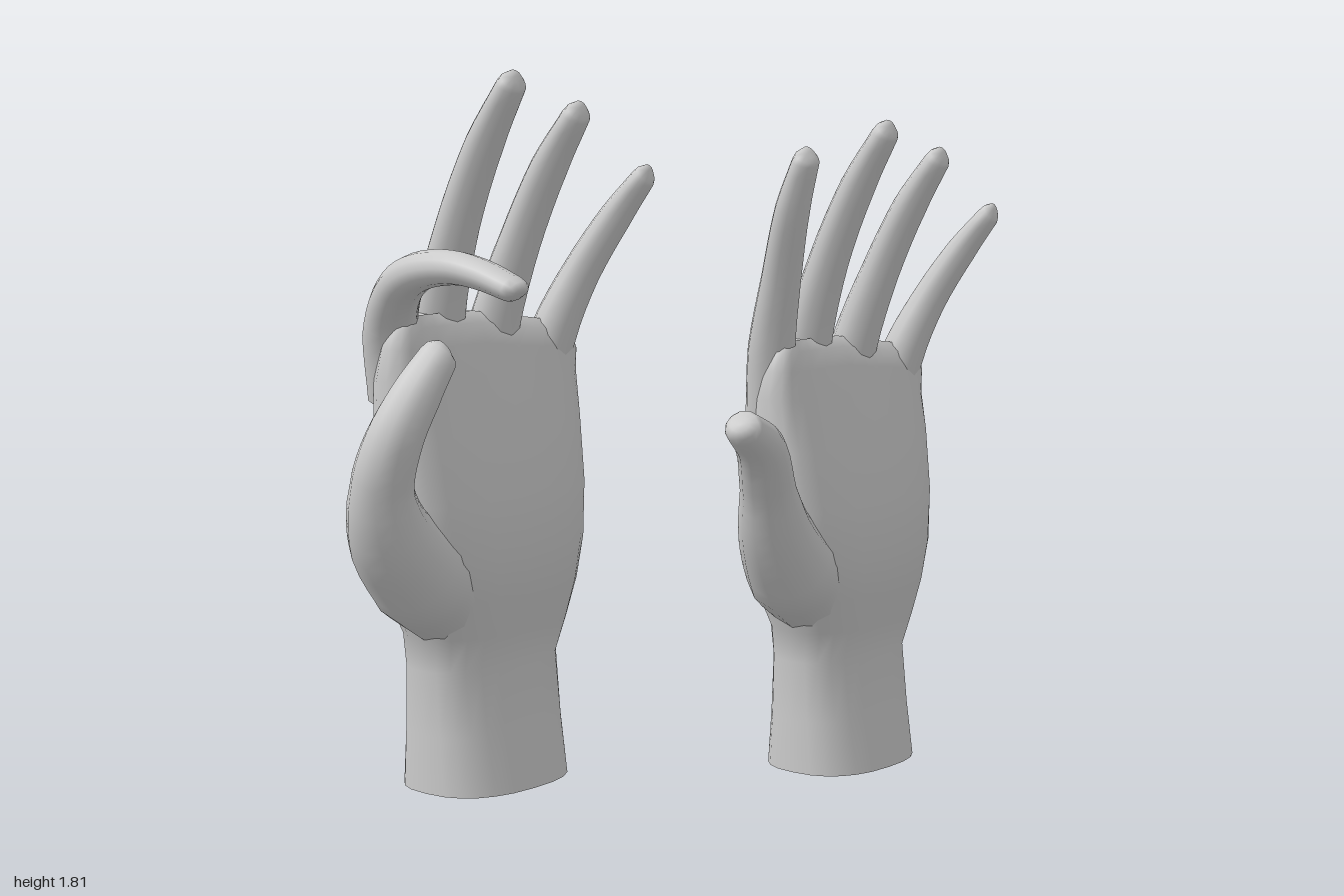
import * as THREE from 'three';

const material = new THREE.MeshStandardMaterial({ color: 0xcccccc });
const V = (x, y, z) => new THREE.Vector3(x, y, z);

// Skin a list of equal-length rings (counter-clockwise about the travel direction)
function loft(rings, closeStart) {
  const n = rings[0].length, pos = [], idx = [];
  rings.forEach((ring) => ring.forEach((p) => pos.push(p.x, p.y, p.z)));
  for (let i = 0; i < rings.length - 1; i++) {
    for (let j = 0; j < n; j++) {
      const a = i * n + j, b = i * n + (j + 1) % n;
      idx.push(a, b, b + n, a, b + n, a + n);
    }
  }
  const cap = (ring, base, flip) => {
    const c = ring.reduce((s, p) => s.add(p), V(0, 0, 0)).divideScalar(n);
    const center = pos.length / 3;
    pos.push(c.x, c.y, c.z);
    for (let j = 0; j < n; j++) {
      const a = base + j, b = base + (j + 1) % n;
      if (flip) idx.push(center, b, a);
      else idx.push(center, a, b);
    }
  };
  cap(rings[rings.length - 1], (rings.length - 1) * n, false);
  if (closeStart) {
    // own copy of the first ring keeps the cut edge sharp
    const base = pos.length / 3;
    rings[0].forEach((p) => pos.push(p.x, p.y, p.z));
    cap(rings[0], base, true);
  }
  const g = new THREE.BufferGeometry();
  g.setAttribute('position', new THREE.Float32BufferAttribute(pos, 3));
  g.setIndex(idx);
  g.computeVertexNormals();
  return g;
}

// Tapered digit along a curve; each point is [x, y, z, radius]
function digit(name, pts, ref, flat) {
  const curve = new THREE.CatmullRomCurve3(pts.map((p) => V(p[0], p[1], p[2])));
  const steps = (pts.length - 1) * 4, sides = 12, rings = [];
  const ringAt = (t, scale, push, slant) => {
    const c = curve.getPoint(t), dir = curve.getTangent(t);
    const side = ref.clone().addScaledVector(dir, -ref.dot(dir)).normalize();
    const up = dir.clone().cross(side);
    const k = Math.min(Math.floor(t * (pts.length - 1)), pts.length - 2);
    const r = scale * THREE.MathUtils.lerp(pts[k][3], pts[k + 1][3], t * (pts.length - 1) - k);
    const thin = THREE.MathUtils.lerp(1, flat, t);
    rings.push(Array.from({ length: sides }, (_, j) => {
      const a = j / sides * Math.PI * 2;
      return c.clone().addScaledVector(side, r * Math.cos(a))
        .addScaledVector(up, r * thin * Math.sin(a))
        .addScaledVector(dir, push - slant * Math.sin(a));
    }));
  };
  for (let i = 0; i <= steps; i++) ringAt(i / steps, 1, 0, 0);
  // blunt fingertip, longer on the nail side
  ringAt(1, 0.85, 0.014, 0.006);
  ringAt(1, 0.5, 0.025, 0.008);
  const mesh = new THREE.Mesh(loft(rings, false), material);
  mesh.name = name;
  return mesh;
}

// Wrist and cupped palm: [y, xBack, xFront, zMin, zMax, arch, tilt]
function palm() {
  const sections = [
    [0.165, -0.31, 0.00, 0.30, 0.70, 0, 0],
    [0.30, -0.295, -0.025, 0.30, 0.70, 0, 0],
    [0.45, -0.285, -0.045, 0.30, 0.70, 0, 0],
    [0.53, -0.295, -0.03, 0.28, 0.715, 0.01, 0],
    [0.62, -0.32, -0.01, 0.26, 0.765, 0.02, 0],
    [0.72, -0.325, 0.005, 0.255, 0.80, 0.03, 0],
    [0.85, -0.32, -0.01, 0.245, 0.82, 0.04, 0],
    [1.00, -0.31, -0.05, 0.235, 0.825, 0.05, 0],
    [1.12, -0.30, -0.09, 0.23, 0.83, 0.06, 0.03],
    [1.19, -0.28, -0.11, 0.232, 0.828, 0.07, 0.04],
    [1.235, -0.255, -0.13, 0.245, 0.815, 0.07, 0.045],
    [1.26, -0.225, -0.155, 0.27, 0.79, 0.06, 0.045],
  ];
  const sides = 24, soft = (v) => Math.sign(v) * Math.abs(v) ** 0.8;
  const rings = sections.map(([y, xb, xf, z0, z1, arch, tilt]) =>
    Array.from({ length: sides }, (_, j) => {
      const a = j / sides * Math.PI * 2, c = soft(Math.cos(a)), s = soft(Math.sin(a));
      return V((xb + xf) / 2 + s * (xf - xb) / 2 + arch * c * c,
        y + tilt * (c < 0 ? c : 0.3 * c), (z0 + z1) / 2 + c * (z1 - z0) / 2);
    }));
  const mesh = new THREE.Mesh(loft(rings, true), material);
  mesh.name = 'palmAndWrist';
  return mesh;
}

const fingers = {
  middleFinger: [[-0.225, 1.08, 0.59, 0.06], [-0.19, 1.25, 0.605, 0.064], [-0.11, 1.46, 0.625, 0.055],
    [-0.015, 1.65, 0.635, 0.05], [0.07, 1.78, 0.64, 0.04]],
  ringFinger: [[-0.21, 1.06, 0.445, 0.06], [-0.165, 1.23, 0.445, 0.062], [-0.085, 1.42, 0.445, 0.053],
    [0.005, 1.59, 0.445, 0.049], [0.085, 1.705, 0.445, 0.039]],
  littleFinger: [[-0.165, 1.04, 0.30, 0.055], [-0.13, 1.19, 0.285, 0.058], [-0.075, 1.33, 0.25, 0.049],
    [0.0, 1.46, 0.215, 0.044], [0.07, 1.55, 0.20, 0.035]],
};

const straightIndex = [[-0.20, 1.06, 0.745, 0.06], [-0.17, 1.25, 0.775, 0.062], [-0.11, 1.43, 0.815, 0.054],
  [-0.04, 1.61, 0.86, 0.049], [0.01, 1.725, 0.875, 0.04]];
const bentIndex = [[-0.21, 1.08, 0.73, 0.06], [-0.185, 1.23, 0.765, 0.064], [-0.11, 1.33, 0.815, 0.056],
  [-0.01, 1.385, 0.855, 0.05], [0.11, 1.405, 0.87, 0.045], [0.20, 1.395, 0.87, 0.042], [0.285, 1.372, 0.87, 0.038]];

const openThumb = [[-0.15, 0.60, 0.62, 0.10], [-0.12, 0.70, 0.75, 0.12], [-0.085, 0.81, 0.86, 0.095],
  [-0.04, 0.94, 0.95, 0.069], [0.01, 1.055, 1.04, 0.062], [0.045, 1.12, 1.15, 0.047]];
const curledThumb = [[-0.15, 0.59, 0.62, 0.10], [-0.12, 0.68, 0.74, 0.12], [-0.095, 0.79, 0.86, 0.10],
  [-0.06, 0.91, 0.922, 0.073], [-0.02, 1.02, 0.925, 0.066], [0.01, 1.12, 0.885, 0.058], [0.03, 1.20, 0.835, 0.046]];

function hand(name, index, thumb) {
  const g = new THREE.Group();
  g.name = name;
  g.add(palm());
  for (const [key, pts] of Object.entries(fingers)) g.add(digit(key, pts, V(0, 0, 1), 0.75));
  g.add(digit('indexFinger', index, V(0, 0, 1), 0.75));
  g.add(digit('thumb', thumb, V(1, 0, 0), 0.95));
  return g;
}

export function createModel() {
  const model = new THREE.Group();
  model.name = 'pairOfHands';
  const front = hand('pinchingHand', bentIndex, curledThumb);
  const back = hand('openHand', straightIndex, openThumb);
  back.position.set(0.155, -0.16, -1.16);
  model.add(front, back);
  return model;
}
